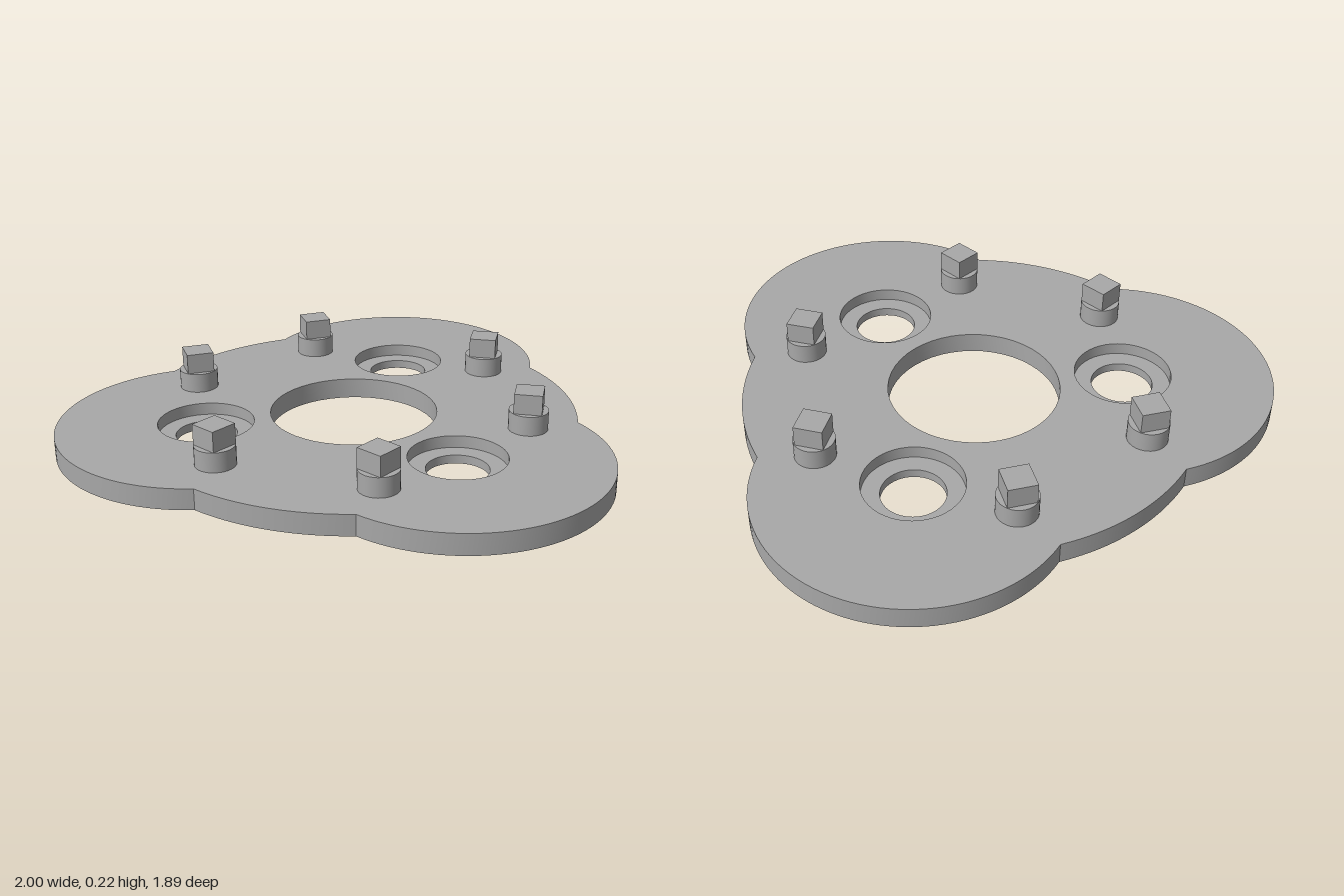
import * as THREE from 'three';
import { toCreasedNormals } from 'three/addons/utils/BufferGeometryUtils.js';

const deg = Math.PI / 180;
const THICK = 0.077;      // plate thickness
const LEDGE = 0.032;      // height of the counterbore ledge
const LOBE_DIST = 0.54, LOBE_R = 0.533, DISC_R = 0.815;
const HUB_R = 0.305, BOLT_R = 0.11, BORE_R = 0.173;
const LOBES = [0, 120, 240];
const DIV = 24;           // each arc gets 2 * DIV segments

export function createModel() {
  const steel = new THREE.MeshStandardMaterial({ color: 0xa8a8a8 });
  steel.name = 'grey steel';

  const model = new THREE.Group();
  model.name = 'triLobePlate';
  const body = new THREE.Group();
  body.name = 'plateBody';
  body.position.z = -0.13;
  model.add(body);

  const add = (name, geometry, parent = body) => {
    const mesh = new THREE.Mesh(geometry, steel);
    mesh.name = name;
    parent.add(mesh);
    return mesh;
  };

  // Angle is measured from +z towards +x; shapes use y = -z.
  const lobeCentre = (a) => [LOBE_DIST * Math.sin(a * deg), -LOBE_DIST * Math.cos(a * deg)];

  // Outline: three lobes joined by arcs of a central disc
  const half = Math.acos((LOBE_DIST ** 2 + DISC_R ** 2 - LOBE_R ** 2) / (2 * LOBE_DIST * DISC_R));
  const lobeHalf = Math.atan2(DISC_R * Math.sin(half), DISC_R * Math.cos(half) - LOBE_DIST);
  const makeOutline = (boltRadius) => {
    const shape = new THREE.Shape();
    for (const a of LOBES) {
      const dir = (a - 90) * deg;
      shape.absarc(...lobeCentre(a), LOBE_R, dir - lobeHalf, dir + lobeHalf, false);
      shape.absarc(0, 0, DISC_R, dir + half, dir + 120 * deg - half, false);
    }
    const hole = (x, y, r) => shape.holes.push(new THREE.Path().absarc(x, y, r, 0, Math.PI * 2, true));
    hole(0, 0, HUB_R);
    for (const a of LOBES) hole(...lobeCentre(a), boltRadius);
    return shape;
  };

  // Top and bottom faces
  const top = makeOutline(BORE_R);
  add('plateTop', new THREE.ShapeGeometry(top, DIV).rotateX(-Math.PI / 2).translate(0, THICK, 0));
  const under = new THREE.ShapeGeometry(makeOutline(BOLT_R), DIV).rotateX(-Math.PI / 2);
  const index = under.index.array;
  for (let i = 0; i < index.length; i += 3) [index[i], index[i + 1]] = [index[i + 1], index[i]];
  under.computeVertexNormals();
  add('plateUnderside', under);

  // Outer rim wall
  const rim = top.getPoints(DIV);
  const positions = [];
  rim.forEach((p, i) => {
    const q = rim[(i + 1) % rim.length];
    if (p.distanceTo(q) < 1e-6) return;
    const a = [p.x, 0, -p.y], b = [q.x, 0, -q.y];
    const c = [q.x, THICK, -q.y], d = [p.x, THICK, -p.y];
    positions.push(...a, ...b, ...c, ...a, ...c, ...d);
  });
  const wall = new THREE.BufferGeometry();
  wall.setAttribute('position', new THREE.Float32BufferAttribute(positions, 3));
  add('outerRim', toCreasedNormals(wall, 0.3));

  // Inner walls of the holes, profiles run downwards so they face inwards
  const bore = (profile) => toCreasedNormals(
    new THREE.LatheGeometry(profile.map(([r, y]) => new THREE.Vector2(r, y)), DIV * 2), 0.5);
  add('centreHole', bore([[HUB_R, THICK], [HUB_R, 0]]));
  const boltGeometry = bore([[BORE_R, THICK], [BORE_R, LEDGE], [BOLT_R, LEDGE], [BOLT_R, 0]]);
  for (const a of LOBES) {
    const [x, y] = lobeCentre(a);
    add('counterboredHole', boltGeometry).position.set(x, 0, -y);
  }

  // Six pegs: a round base with a square head, in pairs between the lobes
  const baseGeometry = new THREE.CylinderGeometry(0.071, 0.071, 0.072, 32);
  const headGeometry = new THREE.BoxGeometry(0.1, 0.074, 0.1);
  LOBES.forEach((a, i) => {
    for (const side of [-1, 1]) {
      const angle = (a + 60 + side * 26.5) * deg;
      const peg = new THREE.Group();
      peg.name = 'peg';
      peg.position.set(0.643 * Math.sin(angle), THICK, 0.643 * Math.cos(angle));
      add('pegBase', baseGeometry, peg).position.y = 0.036;
      const head = add('pegHead', headGeometry, peg);
      head.position.y = 0.109;
      head.rotation.y = (37 + i * 30) * deg;
      body.add(peg);
    }
  });

  return model;
}
